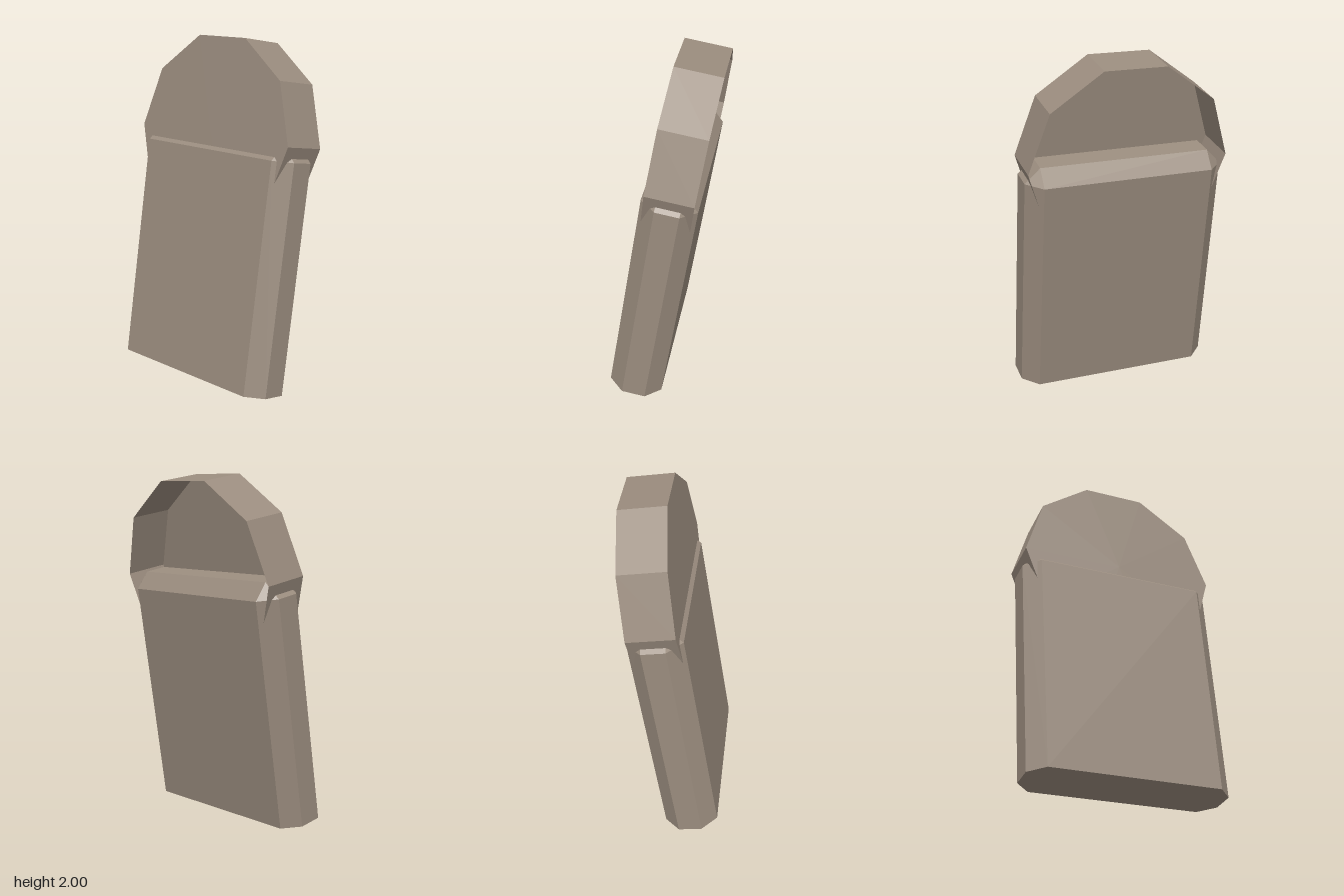
import * as THREE from 'three';
import { ConvexGeometry } from 'three/addons/geometries/ConvexGeometry.js';
import { mergeGeometries } from 'three/addons/utils/BufferGeometryUtils.js';

const HALF_W = 0.593, HALF_D = 0.157, BEVEL = 0.088, SHOULDER = 1.33, LEAN = Math.PI / 20;

// Upright block with bevelled vertical and top edges and a flat base
function slabGeometry() {
  const points = [];
  for (const sx of [-1, 1]) for (const sz of [-1, 1]) {
    for (const y of [0, SHOULDER]) {
      points.push(new THREE.Vector3(sx * (HALF_W - BEVEL), y, sz * HALF_D));
      points.push(new THREE.Vector3(sx * HALF_W, y, sz * (HALF_D - BEVEL)));
    }
    points.push(new THREE.Vector3(sx * (HALF_W - BEVEL), SHOULDER + BEVEL, sz * (HALF_D - BEVEL)));
  }
  return new ConvexGeometry(points);
}

// Ten-sided drum with a front face and an open back
function capGeometry() {
  const depth = 0.273;
  const wall = new THREE.CylinderGeometry(HALF_W, HALF_W, depth, 10, 1, true, Math.PI / 2);
  wall.rotateX(Math.PI / 2);
  const face = new THREE.CircleGeometry(HALF_W, 10).translate(0, 0, depth / 2);
  const cap = mergeGeometries([wall.toNonIndexed(), face.toNonIndexed()]);
  cap.computeVertexNormals();
  return cap;
}

export function createModel() {
  const stone = new THREE.MeshStandardMaterial({ color: 0x9a8c7e, side: THREE.DoubleSide });
  stone.name = 'weathered stone';

  const slab = new THREE.Mesh(slabGeometry(), stone);
  slab.name = 'slab';

  const cap = new THREE.Mesh(capGeometry(), stone);
  cap.name = 'roundedTop';
  cap.position.y = 1.414;

  // The whole stone leans backwards
  const leaning = new THREE.Group();
  leaning.name = 'leaningStone';
  leaning.add(slab, cap);
  leaning.rotation.x = -LEAN;
  leaning.position.set(0, HALF_D * Math.sin(LEAN), 0.145);

  const model = new THREE.Group();
  model.name = 'headstone';
  model.add(leaning);
  return model;
}
